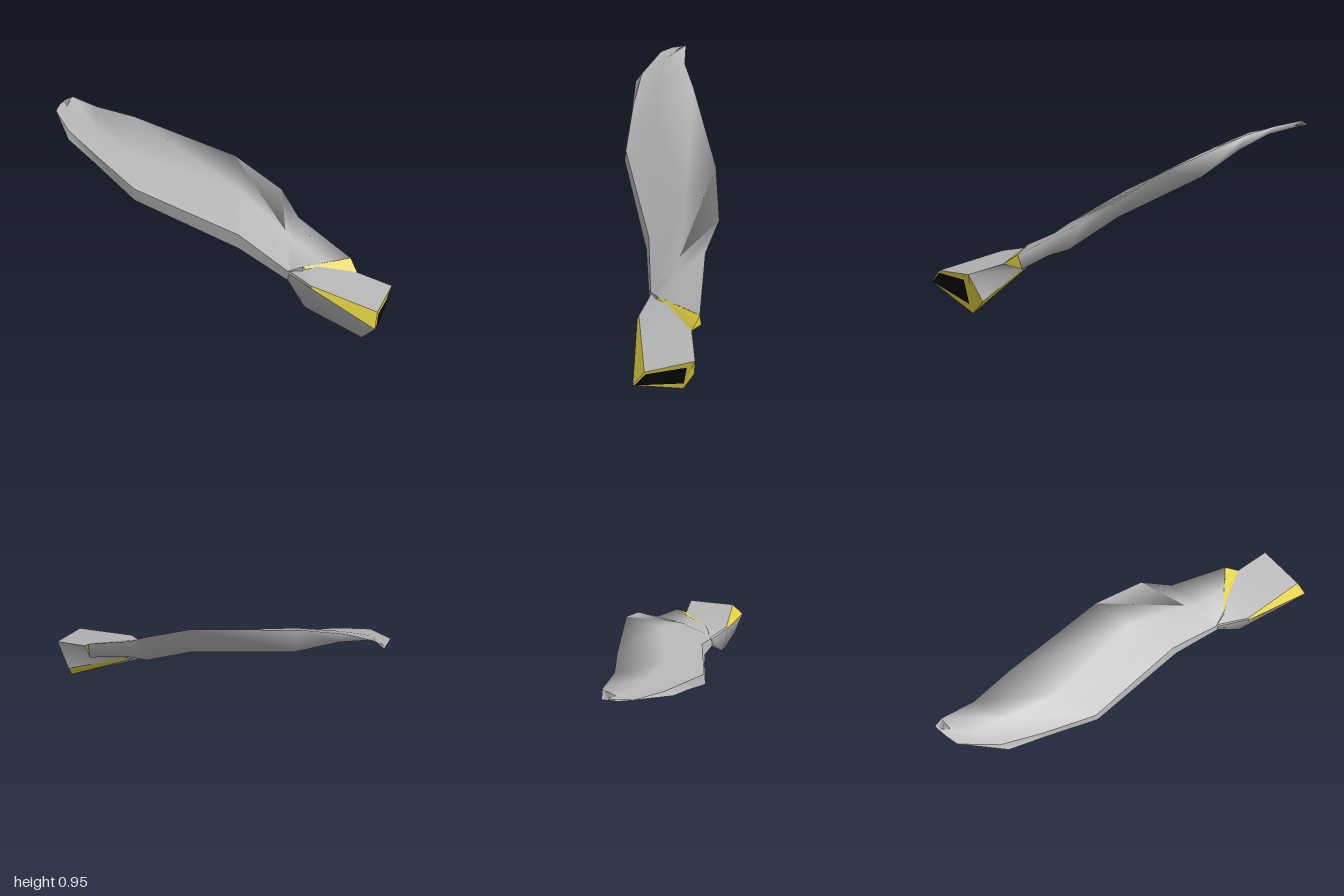
import * as THREE from 'three';

const mat = (name, color) => {
  const m = new THREE.MeshStandardMaterial({ color, side: THREE.DoubleSide });
  m.name = name;
  return m;
};

export function createModel() {
  const group = new THREE.Group();
  const grey = mat('grey metal', 0xb6b6b6);
  const yellow = mat('yellow trim', 0xe2d040);
  const black = mat('black socket', 0x080808);

  const addMesh = (name, points, index, material) => {
    const g = new THREE.BufferGeometry();
    g.setAttribute('position', new THREE.Float32BufferAttribute(points.flat(), 3));
    g.setIndex(index);
    g.computeVertexNormals();
    const mesh = new THREE.Mesh(g, material);
    mesh.name = name;
    group.add(mesh);
  };

  // Smooth skin over the chosen points of consecutive cross-sections
  const panel = (name, rings, ids, material) => {
    const n = ids.length, index = [];
    for (let i = 0; i < rings.length - 1; i++) {
      for (let j = 0; j < n - 1; j++) {
        const a = i * n + j, b = a + n;
        index.push(a, b, a + 1, b, b + 1, a + 1);
      }
    }
    addMesh(name, rings.flatMap(r => ids.map(k => r[k])), index, material);
  };

  // Flat polygon, corners anticlockwise from outside
  const polygon = (name, points, material) => {
    const index = [];
    for (let i = 1; i < points.length - 1; i++) index.push(0, i, i + 1);
    addMesh(name, points, index, material);
  };

  // Section at constant x from [y, z] pairs
  const section = (x, ...yz) => yz.map(([y, z]) => [x, y, z]);

  // Blade sections, tip to hilt:
  // front top, middle top, back edge, underside, trim inner, trim outer, front bottom
  const tipFront = [-1, 0.9, -0.7];
  const blade = [
    [tipFront, [-0.98, 0.915, -0.78], [-0.95, 0.915, -0.855], [-0.97, 0.895, -0.78],
      tipFront, tipFront, tipFront],
    [[-0.91, 0.85, -0.48], [-0.91, 0.895, -0.66], [-0.9, 0.947, -0.83], [-0.91, 0.84, -0.6],
      [-0.91, 0.82, -0.465], [-0.91, 0.812, -0.45], [-0.91, 0.81, -0.43]],
    section(-0.74, [0.763, -0.29], [0.845, -0.5], [0.925, -0.7], [0.76, -0.47],
      [0.735, -0.33], [0.718, -0.315], [0.71, -0.275]),
    section(-0.5, [0.63, -0.06], [0.765, -0.3], [0.895, -0.59], [0.61, -0.3],
      [0.59, -0.12], [0.57, -0.105], [0.56, -0.05]),
    section(0.12, [0.44, 0.21], [0.625, -0.06], [0.745, -0.29], [0.45, 0],
      [0.39, 0.165], [0.37, 0.18], [0.36, 0.23]),
    section(0.4, [0.29, 0.4], [0.455, 0.19], [0.595, -0.1], [0.295, 0.19],
      [0.25, 0.36], [0.238, 0.375], [0.235, 0.41]),
    [[0.43, 0.3, 0.405], [0.46, 0.405, 0.25], [0.49, 0.485, 0.07], [0.52, 0.28, 0.26],
      [0.45, 0.23, 0.38], [0.44, 0.225, 0.4], [0.43, 0.235, 0.43]],
    [[0.49, 0.325, 0.415], [0.63, 0.33, 0.373], [0.78, 0.335, 0.33], [0.77, 0.25, 0.31],
      [0.56, 0.21, 0.42], [0.52, 0.21, 0.43], [0.48, 0.24, 0.44]],
  ];
  panel('blade', blade, [0, 1, 2, 3, 4], grey);
  panel('bladeEdgeTrim', blade, [4, 5], yellow);
  panel('bladeLowerEdge', blade, [5, 6], grey);
  panel('bladeFrontEdge', blade, [6, 0], grey);

  // Stepped guard closing the blade
  const guardFront = [0.49, 0.325, 0.415], guardTop = [0.78, 0.335, 0.33];
  const guardCorner = [0.81, 0.28, 0.41], guardLow = [0.77, 0.25, 0.31];
  polygon('guardStep', [guardFront, [0.51, 0.285, 0.42], guardCorner, guardTop], yellow);
  polygon('guardEnd', [guardCorner, guardLow, guardTop], yellow);

  // Grip sections: top front, top back, back, bottom back, bottom front, front
  const grip = [
    [[0.41, 0.29, 0.4], [0.6, 0.36, 0.25], [0.5, 0.28, 0.27],
      [0.42, 0.25, 0.36], [0.4, 0.235, 0.41], [0.405, 0.28, 0.41]],
    [[0.52, 0.28, 0.57], [0.81, 0.28, 0.41], [0.56, 0.19, 0.42],
      [0.54, 0.17, 0.43], [0.49, 0.12, 0.53], [0.53, 0.265, 0.59]],
    [[0.88, 0.22, 0.79], [1, 0.25, 0.53], [0.93, 0.08, 0.48],
      [0.92, 0, 0.55], [0.8, 0.045, 0.77], [0.86, 0.145, 0.855]],
  ];
  const root = grip.slice(0, 2), handle = grip.slice(1);
  panel('gripTop', grip, [0, 1], grey);
  panel('gripBack', grip, [1, 2], grey);
  panel('gripFront', grip, [3, 4, 5], grey);
  for (const [side, ids] of [['Back', [2, 3]], ['Front', [5, 0]]]) {
    panel('gripRoot' + side, root, ids, grey);
    panel('gripTrim' + side, handle, ids, yellow);
  }

  // End of the grip with its dark socket
  const [topFront, topBack, back, bottomBack, bottomFront, front] = grip[2];
  polygon('endFrame', [topFront, front, bottomBack, topBack], yellow);
  polygon('endFrameBack', [topBack, bottomBack, back], yellow);
  polygon('endLower', [front, bottomFront, bottomBack], grey);
  polygon('socket', [[0.886, 0.207, 0.787], [0.867, 0.145, 0.848],
    [0.941, 0.06, 0.562], [0.979, 0.21, 0.572]], black);

  return group;
}
